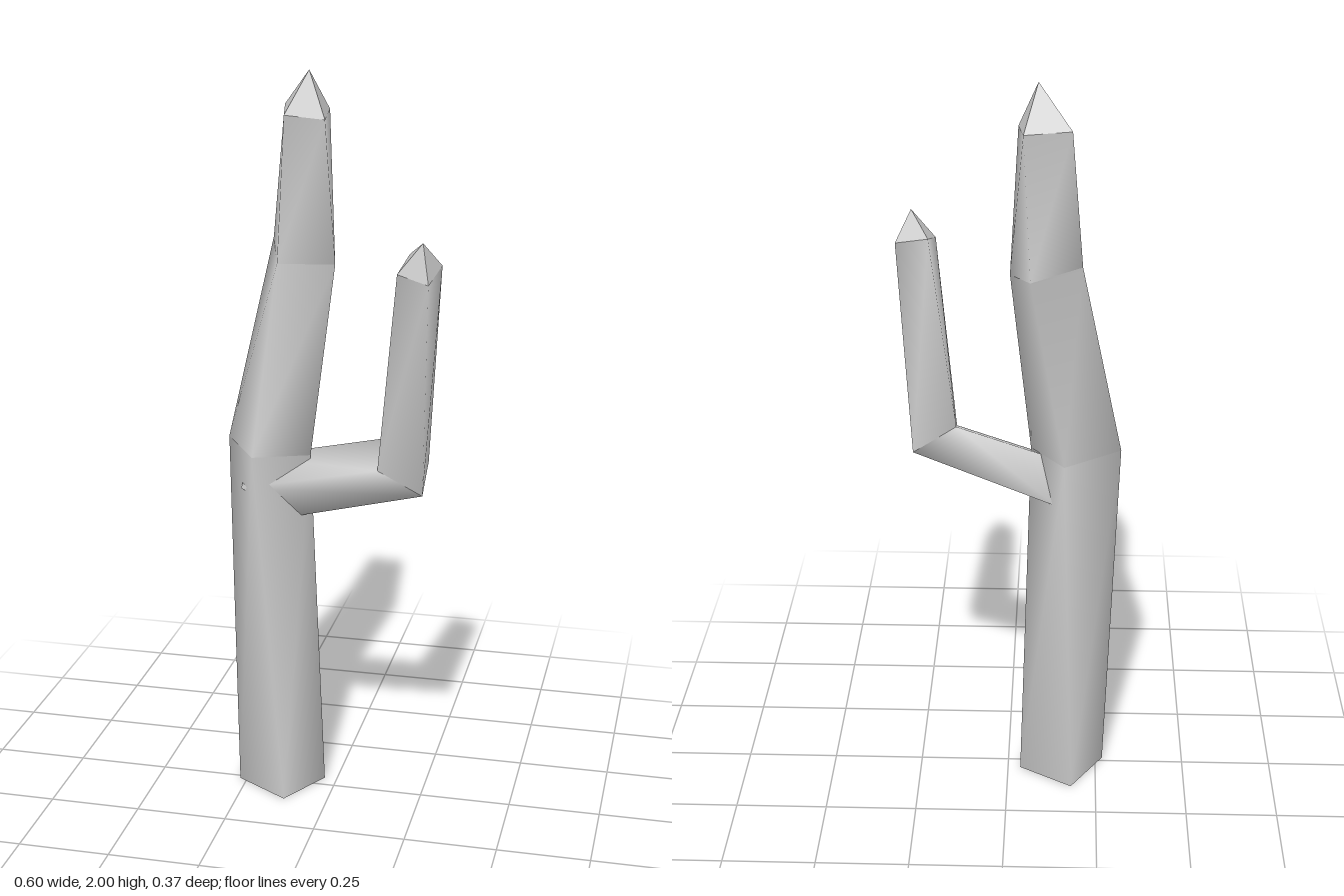
import * as THREE from 'three';

const material = new THREE.MeshStandardMaterial({ color: 0xcccccc });

function mesh(name, points, index, flat) {
  let geometry = new THREE.BufferGeometry();
  geometry.setAttribute('position', new THREE.Float32BufferAttribute(points.flat(), 3));
  geometry.setIndex(index);
  if (flat) geometry = geometry.toNonIndexed();
  geometry.computeVertexNormals();
  const part = new THREE.Mesh(geometry, material);
  part.name = name;
  return part;
}

// Four-sided sleeve between two rings, smooth around its girth
function segment(name, lower, upper) {
  const index = [];
  for (let i = 0; i < 4; i++) {
    const j = (i + 1) % 4;
    index.push(i, j, 4 + j, i, 4 + j, 4 + i);
  }
  return mesh(name, [...lower, ...upper], index, false);
}

// A limb: flat end cap, creased segments and a pointed tip
function limb(name, rings, apex) {
  const group = new THREE.Group();
  group.name = name;
  group.add(mesh(name + 'EndCap', rings[0], [0, 2, 1, 0, 3, 2], true));
  for (let k = 0; k < rings.length - 1; k++) {
    group.add(segment(name + 'Segment' + (k + 1), rings[k], rings[k + 1]));
  }
  const tip = [];
  for (let i = 0; i < 4; i++) tip.push(i, (i + 1) % 4, 4);
  group.add(mesh(name + 'Tip', [...rings[rings.length - 1], apex], tip, true));
  return group;
}

export function createModel() {
  const model = new THREE.Group();
  model.name = 'branchingStem';

  // Trunk: slightly twisted, leaning, tapering to a point
  model.add(limb('trunk', [
    [[-0.27, 0, 0.015], [-0.12, 0, 0.105], [-0.035, 0, -0.04], [-0.18, 0, -0.13]],
    [[-0.30, 1.01, -0.04], [-0.20, 1.0, 0.10], [-0.06, 0.99, 0.015], [-0.15, 1.0, -0.13]],
    [[-0.19, 1.55, -0.12], [-0.145, 1.51, 0.025], [-0.005, 1.5, -0.04], [-0.06, 1.53, -0.185]],
    [[-0.16, 1.9, -0.135], [-0.13, 1.89, 0], [-0.025, 1.88, -0.01], [-0.04, 1.89, -0.135]],
  ], [-0.075, 2, -0.05]));

  // Side branch: out from the trunk, then up at the elbow
  model.add(limb('branch', [
    [[-0.245, 0.95, -0.055], [-0.24, 0.9, 0.065], [-0.115, 0.815, 0.03], [-0.13, 0.87, -0.095]],
    [[0.14, 1.05, 0.01], [0.145, 1.0, 0.13], [0.26, 0.93, 0.105], [0.255, 0.985, -0.015]],
    [[0.21, 1.56, 0.055], [0.197, 1.53, 0.16], [0.28, 1.51, 0.18], [0.298, 1.54, 0.08]],
  ], [0.26, 1.61, 0.15]));

  return model;
}
